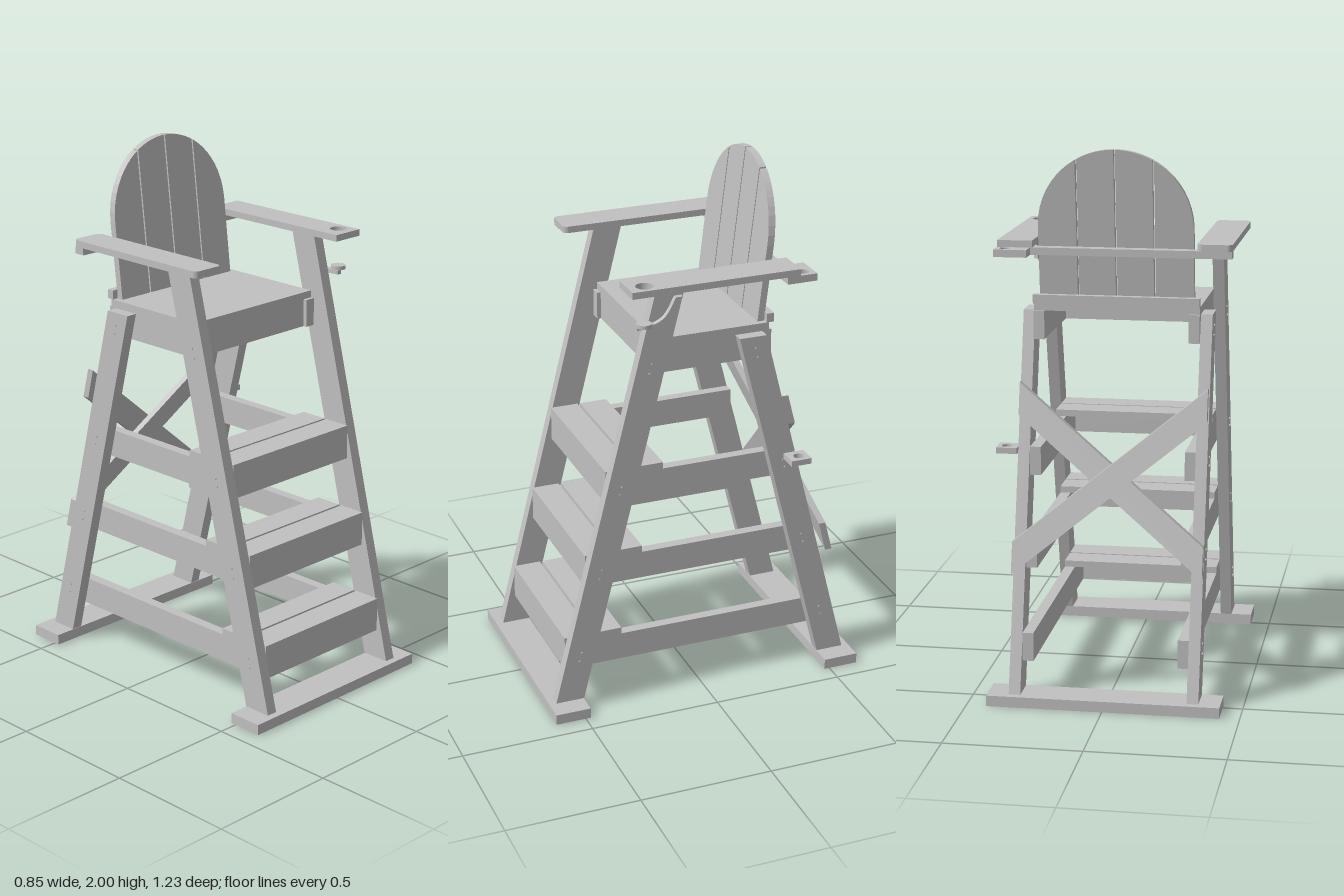
import * as THREE from 'three';

export function createModel() {
  const root = new THREE.Group();
  root.name = 'towerChair';
  const paint = new THREE.MeshStandardMaterial({ color: 0xc0c0c0 });
  paint.name = 'greyPaint';

  function add(name, geo) {
    const mesh = new THREE.Mesh(geo, paint);
    mesh.name = name;
    root.add(mesh);
    return mesh;
  }
  // Box given by its limits on each axis
  function box(name, x0, x1, y0, y1, z0, z1) {
    const g = new THREE.BoxGeometry(x1 - x0, y1 - y0, z1 - z0);
    g.translate((x0 + x1) / 2, (y0 + y1) / 2, (z0 + z1) / 2);
    return add(name, g);
  }
  const polygon = (pts) => new THREE.Shape(pts.map(([a, b]) => new THREE.Vector2(a, b)));
  const extrude = (shape, depth) =>
    new THREE.ExtrudeGeometry(shape, { depth, bevelEnabled: false, curveSegments: 20 });
  // Side profile in (z, y), extruded between x0 and x1
  function sideProfile(name, shape, x0, x1) {
    return add(name, extrude(shape, x1 - x0).rotateY(-Math.PI / 2).translate(x1, 0, 0));
  }
  // Horizontal plate, with optional round hole [x, z, radius] and corner radius
  function plate(name, x0, x1, z0, z1, y0, y1, hole, r = 0) {
    const s = new THREE.Shape();
    if (r) {
      s.moveTo(x0 + r, -z1);
      s.absarc(x1 - r, -z1 + r, r, -Math.PI / 2, 0);
      s.absarc(x1 - r, -z0 - r, r, 0, Math.PI / 2);
      s.absarc(x0 + r, -z0 - r, r, Math.PI / 2, Math.PI);
      s.absarc(x0 + r, -z1 + r, r, Math.PI, Math.PI * 1.5);
    } else {
      s.moveTo(x0, -z1).lineTo(x1, -z1).lineTo(x1, -z0).lineTo(x0, -z0);
    }
    if (hole) s.holes.push(new THREE.Path().absarc(hole[0], -hole[1], hole[2], 0, Math.PI * 2, true));
    return add(name, extrude(s, y1 - y0).rotateX(-Math.PI / 2).translate(0, y0, 0));
  }
  // Lean a geometry along z in proportion to height
  function lean(geo, slope, y0) {
    const p = geo.attributes.position;
    for (let i = 0; i < p.count; i++) p.setZ(i, p.getZ(i) + (p.getY(i) - y0) * slope);
    geo.computeVertexNormals();
    return geo;
  }

  // Ground skids
  box('frontSkid', -0.427, 0.427, 0, 0.04, 0.48, 0.615);
  box('backSkid', -0.427, 0.427, 0, 0.04, -0.615, -0.48);

  // Legs, rails and bolts on each side
  const slope = 0.2537;
  const frontLeg = polygon([[0.478, 0.04], [0.588, 0.04], [0.183, 1.645], [0.073, 1.645]]);
  const backLeg = polygon([[-0.588, 0.04], [-0.482, 0.04], [-0.138, 1.402], [-0.244, 1.402]]);
  const steps = [
    { y: 0.154, front: 0.536 },
    { y: 0.483, front: 0.451 },
    { y: 0.811, front: 0.367 },
  ];
  for (const side of [-1, 1]) {
    const label = side > 0 ? 'left' : 'right';
    const span = (a, b) => (side > 0 ? [a, b] : [-b, -a]);
    sideProfile(label + 'FrontLeg', frontLeg, ...span(0.305, 0.348));
    sideProfile(label + 'BackLeg', backLeg, ...span(0.305, 0.348));
    const rail = span(0.265, 0.305);
    for (const s of steps) box(label + 'StepRail', ...rail, s.y, s.y + 0.106, -s.front, s.front - 0.025);
    box(label + 'SeatRail', ...rail, 1.3, 1.405, -0.28, 0.187);
    for (const y of [0.2, 0.235, 0.53, 0.565, 0.86, 0.89, 1.32, 1.355]) {
      for (const end of [-1, 1]) {
        const z = end > 0 ? 0.533 - (y - 0.04) * 0.2523 : -0.535 + (y - 0.04) * slope;
        const bolt = new THREE.CylinderGeometry(0.005, 0.005, 0.004, 8).rotateZ(Math.PI / 2);
        add(label + 'Bolt', bolt.translate(side * 0.35, y, z));
      }
    }
  }

  // Steps: front board and two treads
  for (const { y, front } of steps) {
    box('stepFrontBoard', -0.305, 0.305, y, y + 0.106, front - 0.025, front);
    box('stepFrontTread', -0.305, 0.305, y + 0.106, y + 0.131, front - 0.107, front);
    box('stepRearTread', -0.305, 0.305, y + 0.106, y + 0.131, front - 0.225, front - 0.117);
  }

  // Seat
  box('seatFrontBoard', -0.265, 0.265, 1.3, 1.405, 0.147, 0.172);
  box('seatBoard', -0.305, 0.305, 1.405, 1.432, -0.27, 0.172);
  box('backrestCleat', -0.305, 0.305, 1.432, 1.466, -0.29, -0.262);

  // Backrest: four slats under one round arch
  const R = 0.283, archY = 1.717;
  for (const [x0, x1] of [[-0.283, -0.143], [-0.137, -0.003], [0.003, 0.137], [0.143, 0.283]]) {
    const pts = [[x0, 1.432], [x1, 1.432]];
    for (let i = 0; i <= 12; i++) {
      const x = x1 + ((x0 - x1) * (1 - Math.cos((Math.PI * i) / 12))) / 2;
      pts.push([x, archY + Math.sqrt(Math.max(0, R * R - x * x))]);
    }
    add('backrestSlat', lean(extrude(polygon(pts), 0.026).translate(0, 0, -0.26), -0.117, 1.432));
  }

  // Crossed braces lying against the back legs
  for (const [dir, layer] of [[1, 1], [-1, 2]]) {
    const yL = 0.813 - dir * 0.278, yR = 0.813 + dir * 0.278, h = 0.058;
    const shape = polygon([[-0.347, yL - h], [0.347, yR - h], [0.347, yR + h], [-0.347, yL + h]]);
    const geo = extrude(shape, 0.0265).translate(0, 0, -0.244 - layer * 0.0265);
    add('crossBrace', lean(geo, slope, 1.402));
  }

  // Arms and the bar joining them
  plate('rightArm', -0.427, -0.3, -0.337, 0.302, 1.645, 1.67, null, 0.02);
  plate('leftArm', 0.297, 0.425, -0.337, 0.302, 1.645, 1.67, [0.377, 0.24, 0.032]);
  box('armBar', -0.425, 0.425, 1.618, 1.645, -0.33, -0.287);

  // Pole holders at the left rear
  plate('upperPoleHolder', 0.305, 0.425, -0.402, -0.33, 1.618, 1.645, [0.39, -0.363, 0.02]);
  plate('lowerPoleHolder', 0.348, 0.425, -0.4, -0.32, 0.895, 0.917, [0.39, -0.363, 0.02]);

  // Cup rest below the arm opening, on a curved bracket
  const disc = new THREE.CylinderGeometry(0.028, 0.028, 0.014, 28);
  add('cupRest', disc.translate(0.377, 1.524, 0.242));
  const bracket = new THREE.Shape();
  bracket.moveTo(0.265, 1.502).lineTo(0.19, 1.502);
  bracket.bezierCurveTo(0.13, 1.51, 0.13, 1.55, 0.09, 1.607);
  bracket.lineTo(0.118, 1.607);
  bracket.bezierCurveTo(0.14, 1.565, 0.15, 1.53, 0.2, 1.517);
  bracket.lineTo(0.265, 1.517);
  sideProfile('cupBracket', bracket, 0.348, 0.368);

  return root;
}
